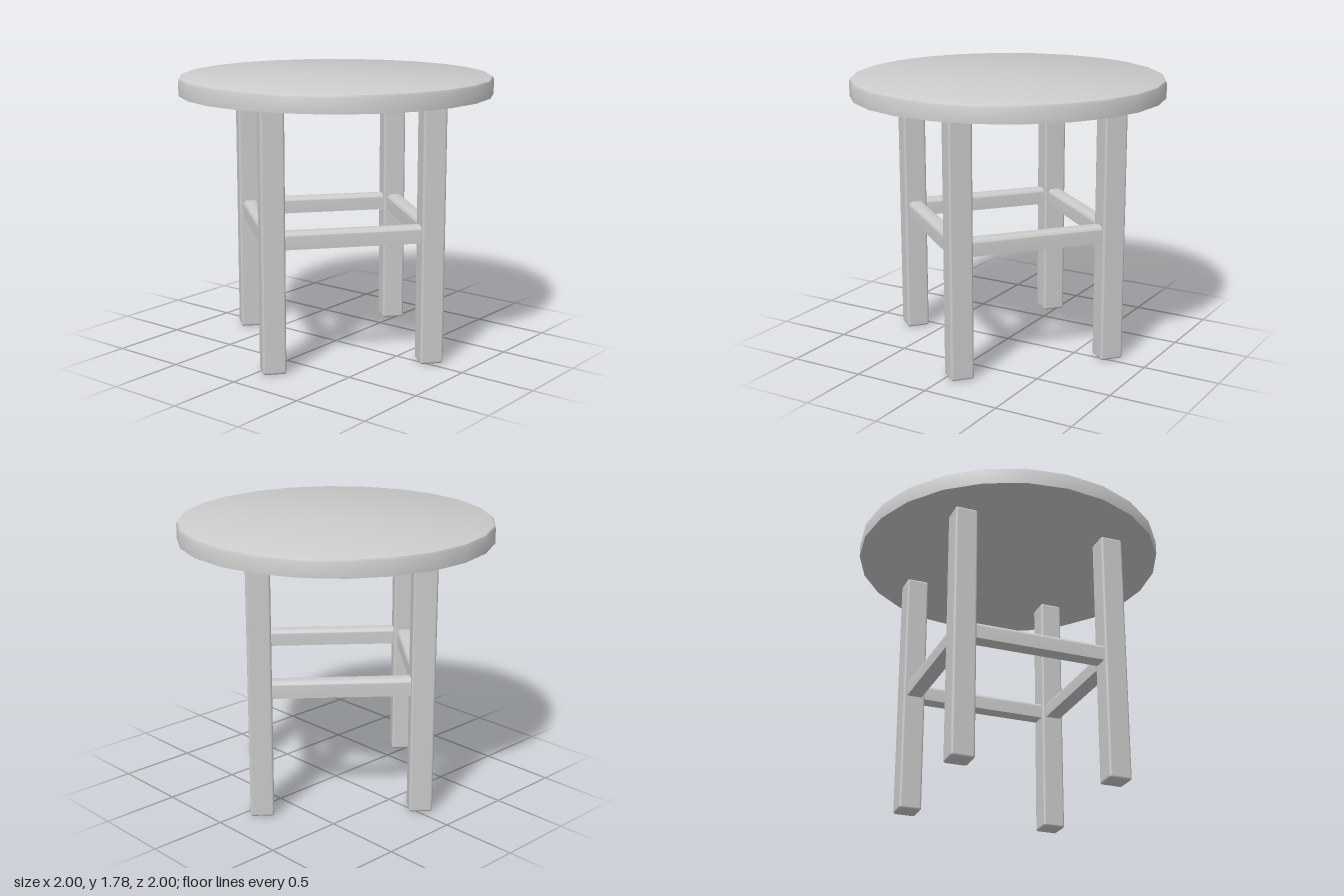
import * as THREE from 'three';
import { toCreasedNormals } from 'three/addons/utils/BufferGeometryUtils.js';
import { RoundedBoxGeometry } from 'three/addons/geometries/RoundedBoxGeometry.js';

const SEAT_BOTTOM = 1.67, SEAT_TOP = 1.785, SEAT_R = 1.004;
const LEG_W = 0.149, LEG_OFFSET = 0.502;
const RAIL_W = 0.1, RAIL_H = 0.108, RAIL_Y = 0.785;

// Seat: 24-sided disc with a softened top rim
function seatGeometry() {
  const profile = [
    [0, SEAT_BOTTOM], [SEAT_R, SEAT_BOTTOM], [SEAT_R, SEAT_TOP - 0.022],
    [SEAT_R - 0.007, SEAT_TOP - 0.007], [SEAT_R - 0.022, SEAT_TOP], [0, SEAT_TOP],
  ].map(([r, y]) => new THREE.Vector2(r, y));
  return toCreasedNormals(new THREE.LatheGeometry(profile, 24), 0.6);
}

// Rail: flat underneath, rounded along both upper edges, running along z
function railGeometry() {
  const w = RAIL_W / 2, r = 0.028, length = 2 * LEG_OFFSET - LEG_W + 0.002;
  const s = new THREE.Shape();
  s.moveTo(-w, 0);
  s.lineTo(w, 0);
  s.lineTo(w, RAIL_H - r);
  s.absarc(w - r, RAIL_H - r, r, 0, Math.PI / 2, false);
  s.lineTo(-w + r, RAIL_H);
  s.absarc(-w + r, RAIL_H - r, r, Math.PI / 2, Math.PI, false);
  s.closePath();
  const g = new THREE.ExtrudeGeometry(s, { depth: length, bevelEnabled: false, curveSegments: 4 });
  g.translate(0, 0, -length / 2);
  return toCreasedNormals(g, 0.6);
}

export function createModel() {
  const stool = new THREE.Group();
  stool.name = 'stool';
  const material = new THREE.MeshStandardMaterial({ color: 0xcccccc });
  const add = (name, geometry, parent) => {
    const mesh = new THREE.Mesh(geometry, material);
    mesh.name = name;
    parent.add(mesh);
    return mesh;
  };

  add('seat', seatGeometry(), stool);

  // Four identical quarters: one leg and one rail each
  const legGeo = new RoundedBoxGeometry(LEG_W, SEAT_BOTTOM, LEG_W, 3, 0.016);
  const railGeo = railGeometry();
  for (let i = 0; i < 4; i++) {
    const quarter = new THREE.Group();
    quarter.name = 'legAndRail' + (i + 1);
    quarter.rotation.y = i * Math.PI / 2;
    add('leg', legGeo, quarter).position.set(LEG_OFFSET, SEAT_BOTTOM / 2, LEG_OFFSET);
    add('rail', railGeo, quarter).position.set(LEG_OFFSET, RAIL_Y, 0);
    stool.add(quarter);
  }

  // The whole stool is turned a little past the diagonal
  stool.rotation.y = THREE.MathUtils.degToRad(50);
  const model = new THREE.Group();
  model.name = 'roundStool';
  model.add(stool);
  return model;
}
